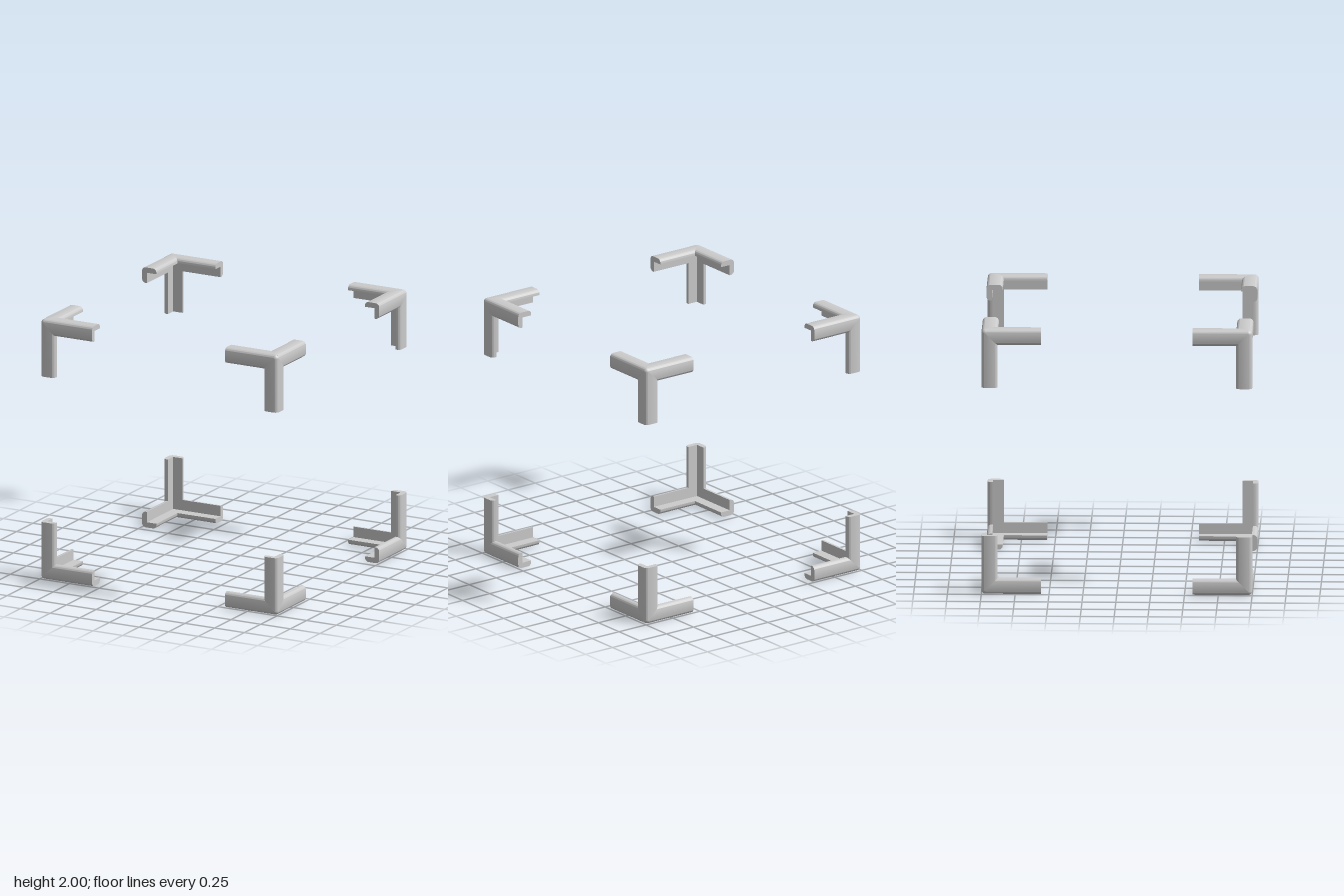
import * as THREE from 'three';
import { toCreasedNormals } from 'three/addons/utils/BufferGeometryUtils.js';

const LENGTH = 0.44;    // arm length
const WIDTH = 0.12;     // flange width
const THICK = 0.04;     // flange thickness
const OUTER = 0.03;     // radius of the outer edge
const TIP = 0.03;       // rounding of the flange tips

// Arm along z: L-section with rounded edges, mitred where it meets the other arms
function armGeometry() {
  const s = new THREE.Shape();
  s.absarc(OUTER, OUTER, OUTER, Math.PI, Math.PI * 1.5, false);
  s.absarc(WIDTH - TIP, TIP, TIP, -Math.PI / 2, 0, false);
  s.lineTo(WIDTH, THICK);
  s.lineTo(THICK, THICK);
  s.lineTo(THICK, WIDTH);
  s.absarc(TIP, WIDTH - TIP, TIP, Math.PI / 2, Math.PI, false);
  s.closePath();
  const g = new THREE.ExtrudeGeometry(s, { depth: LENGTH, bevelEnabled: false, curveSegments: 8 });
  const p = g.attributes.position;
  for (let i = 0; i < p.count; i++) {
    if (p.getZ(i) < 0.001) p.setZ(i, Math.max(p.getX(i), p.getY(i), OUTER));
  }
  return toCreasedNormals(g, 0.5);
}

export function createModel() {
  const model = new THREE.Group();
  model.name = 'cornerBrackets';
  const material = new THREE.MeshStandardMaterial({ color: 0xcccccc });

  // Three arms by turning one about the corner's diagonal
  const diagonal = new THREE.Vector3(1, 1, 1).normalize();
  const arms = [0, 1, 2].map((i) => armGeometry()
    .applyMatrix4(new THREE.Matrix4().makeRotationAxis(diagonal, i * Math.PI * 2 / 3))
    .translate(-1, -1, -1));

  // Rounded outer corner: one eighth of a sphere
  const corner = new THREE.SphereGeometry(OUTER, 8, 8, Math.PI * 1.5, Math.PI / 2, Math.PI / 2, Math.PI / 2)
    .translate(OUTER - 1, OUTER - 1, OUTER - 1);

  // Eight brackets, four below and four flipped above
  for (let flip = 0; flip < 2; flip++) {
    for (let turn = 0; turn < 4; turn++) {
      const bracket = new THREE.Group();
      bracket.name = (flip ? 'upper' : 'lower') + 'Bracket' + (turn + 1);
      arms.forEach((g, i) => {
        const arm = new THREE.Mesh(g, material);
        arm.name = 'arm' + (i + 1);
        bracket.add(arm);
      });
      const cap = new THREE.Mesh(corner, material);
      cap.name = 'roundedCorner';
      bracket.add(cap);
      bracket.rotation.set(flip * Math.PI, turn * Math.PI / 2, 0, 'YXZ');
      bracket.position.y = 1;
      model.add(bracket);
    }
  }
  return model;
}
